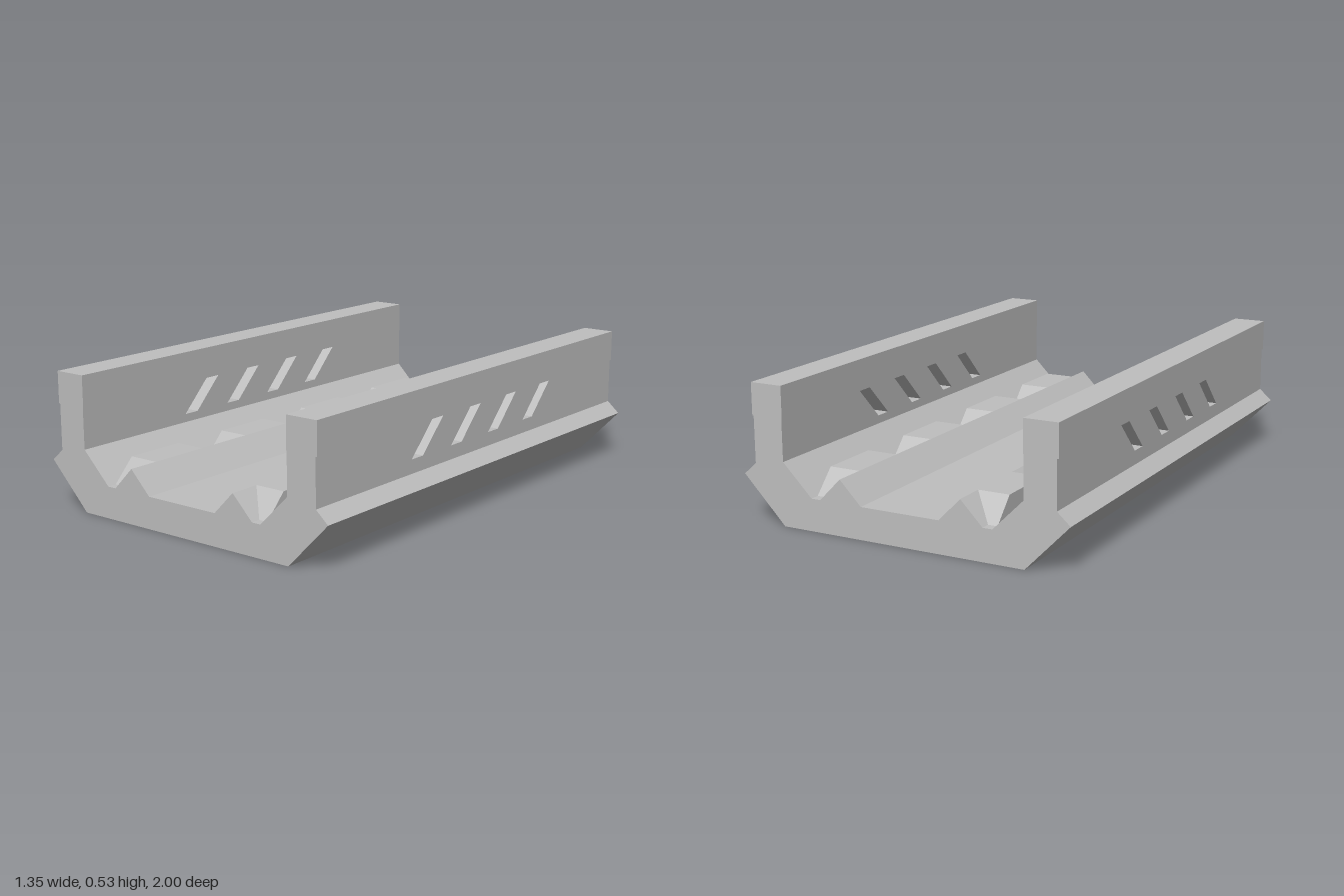
import * as THREE from 'three';

export function createModel() {
  const group = new THREE.Group();
  group.name = 'channelTrack';
  const grey = new THREE.MeshStandardMaterial({ color: 0xbfbfbf });
  grey.name = 'plainGrey';

  const add = (geometry, name) => {
    const mesh = new THREE.Mesh(geometry, grey);
    mesh.name = name;
    group.add(mesh);
    return mesh;
  };
  const extrude = (points, depth) => new THREE.ExtrudeGeometry(
    new THREE.Shape(points.map(([x, y]) => new THREE.Vector2(x, y))),
    { depth, bevelEnabled: false });
  // side profile given as (z, y), spanning x0 to x1
  const extrudeAcross = (points, x0, x1) =>
    extrude(points, x1 - x0).rotateY(-Math.PI / 2).translate(x1, 0, 0);

  const slotBottom = 0.28, slotTop = 0.408;
  const wallIn = 0.498, wallOut = 0.623;

  // Bed with chamfered edges, two ridges and the feet of the walls
  const half = [
    [0.5, 0], [0.675, 0.18], [wallOut, 0.226], [wallOut, slotBottom],
    [wallIn, slotBottom], [wallIn, 0.247], [0.376, 0.125], [0.338, 0.125],
    [0.25, 0.215], [0.162, 0.125],
  ];
  const mirrored = half.map(([x, y]) => [-x, y]).reverse();
  add(extrude([...half, ...mirrored], 2).translate(0, 0, -1), 'bed');

  // Slanted slots: z of the bottom edge's front corner
  const slots = [-0.297, -0.046, 0.205, 0.455];
  const slotWidth = 0.07, slant = 0.128;

  for (const side of [-1, 1]) {
    const sideName = side > 0 ? 'left' : 'right';
    const place = (x0, x1) => (side > 0 ? [x0, x1] : [-x1, -x0]);

    // Wall panels left standing between the slots
    for (let i = 0; i <= slots.length; i++) {
      const first = i === 0, last = i === slots.length;
      const backLow = first ? -1 : slots[i - 1];
      const backHigh = first ? -1 : backLow - slant;
      const frontLow = last ? 1 : slots[i] - slotWidth;
      const frontHigh = last ? 1 : frontLow - slant;
      add(extrudeAcross([
        [backLow, slotBottom], [frontLow, slotBottom],
        [frontHigh, slotTop], [backHigh, slotTop],
      ], ...place(wallIn, wallOut)), `${sideName}WallPanel${i + 1}`);
    }

    // Slightly wider band along the top of the wall
    const capIn = 0.496, capOut = 0.629, capTop = 0.533;
    add(new THREE.BoxGeometry(capOut - capIn, capTop - slotTop, 2), `${sideName}WallCap`)
      .position.set(side * (capIn + capOut) / 2, (capTop + slotTop) / 2, 0);

    // Tapered teeth on the outer flank of the ridge
    [-0.75, -0.25, 0.25, 0.75].forEach((z, i) => add(extrudeAcross([
      [z - 0.212, 0.125], [z + 0.212, 0.125], [z + 0.125, 0.215], [z - 0.125, 0.215],
    ], ...place(0.25, 0.376)), `${sideName}Tooth${i + 1}`));
  }
  return group;
}
